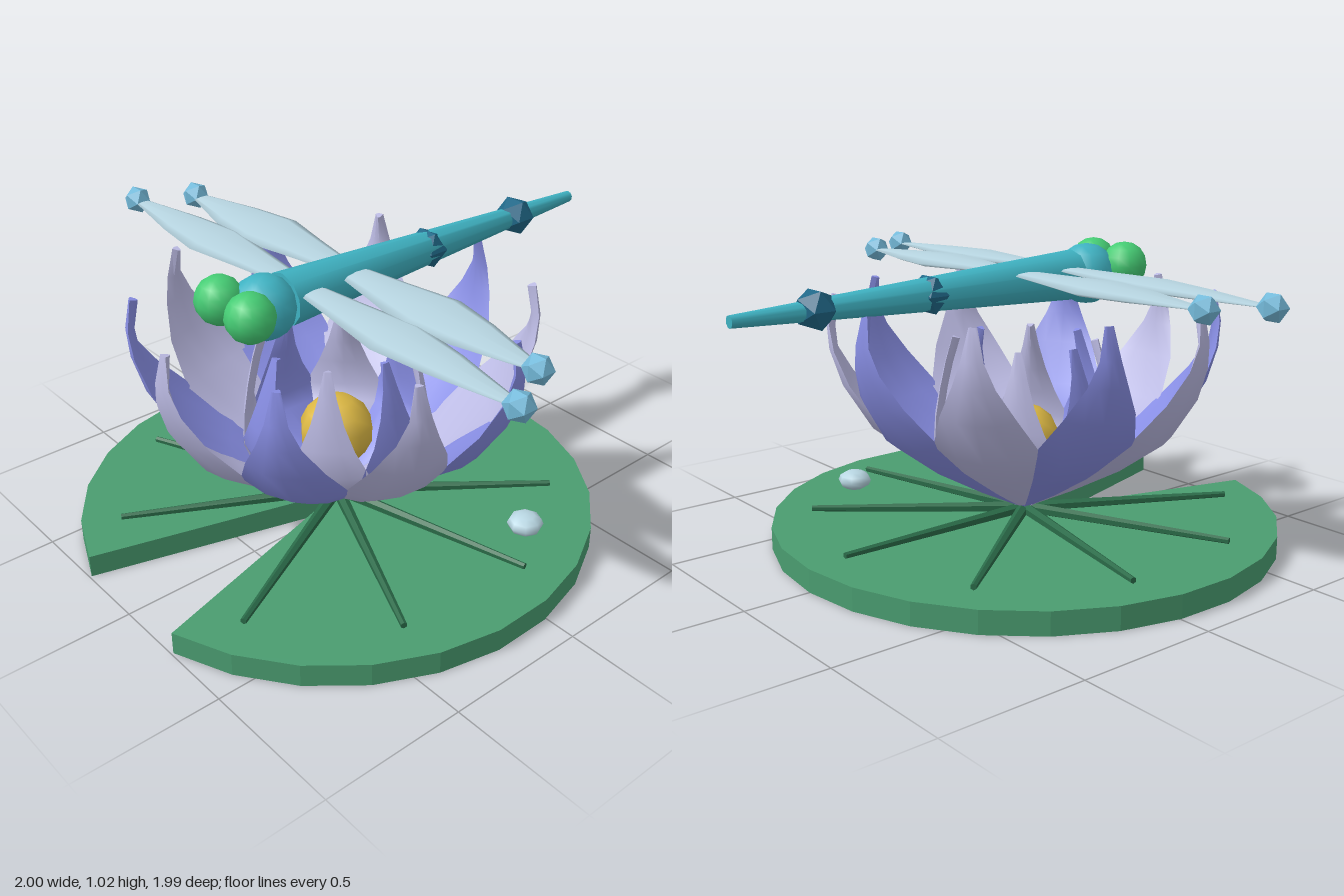
import * as THREE from 'three';
import { toCreasedNormals } from 'three/addons/utils/BufferGeometryUtils.js';

const mat = (name, color, flatShading = true) => {
  const m = new THREE.MeshStandardMaterial({ color, flatShading });
  m.name = name;
  return m;
};

// Closed, cupped petal swept along +z from rows of [radius, height, halfWidth]
function petalGeometry(rows, cup, thickness) {
  const us = [-1, -0.5, 0, 0.5, 1, 0.5, 0, -0.5];
  const n = us.length, pos = [], idx = [];
  rows.forEach(([r, y, w], i) => {
    const a = rows[Math.max(i - 1, 0)], b = rows[Math.min(i + 1, rows.length - 1)];
    const len = Math.hypot(b[0] - a[0], b[1] - a[1]);
    const nz = -(b[1] - a[1]) / len, ny = (b[0] - a[0]) / len;
    us.forEach((u, j) => {
      const off = cup * u * u * w + (j > 4 ? thickness * (1 - u * u) : 0);
      pos.push(u * w, y + ny * off, r + nz * off);
    });
  });
  for (let i = 0; i < rows.length - 1; i++) {
    for (let j = 0; j < n; j++) {
      const a = i * n + j, b = i * n + (j + 1) % n;
      idx.push(a, b, a + n, b, b + n, a + n);
    }
  }
  const e = (rows.length - 1) * n;
  for (let j = 1; j < n - 1; j++) idx.push(e, e + j, e + j + 1);
  const g = new THREE.BufferGeometry();
  g.setAttribute('position', new THREE.Float32BufferAttribute(pos, 3));
  g.setIndex(idx);
  return toCreasedNormals(g, 0.9);
}

export function createModel() {
  const model = new THREE.Group();
  model.name = 'dragonflyOnLotus';
  const green = mat('padGreen', 0x4a9c70), darkGreen = mat('veinGreen', 0x2a6a48);
  const pale = mat('palePetal', 0xbcbbe4, false), blue = mat('bluePetal', 0x888ee4, false);
  const gold = mat('gold', 0xdcb844, false), wing = mat('wingBlue', 0xb8d6e2, false);
  const tip = mat('wingTipBlue', 0x74bada), teal = mat('teal', 0x3fb2c2, false);
  const darkTeal = mat('darkTeal', 0x206888), eye = mat('eyeGreen', 0x45cc74, false);

  const add = (parent, name, geo, material, x = 0, y = 0, z = 0) => {
    const m = new THREE.Mesh(geo, material);
    m.name = name;
    m.position.set(x, y, z);
    parent.add(m);
    return m;
  };

  // Lily pad and flower share a centre slightly in front of the origin
  const lily = new THREE.Group();
  lily.name = 'lily';
  lily.position.z = 0.13;
  model.add(lily);

  // Pad with a wedge cut out at the front
  const outline = [new THREE.Vector2(0, 0)];
  for (let i = 0; i <= 24; i++) {
    const a = -Math.PI / 2 + 0.278 + (i / 24) * (2 * Math.PI - 0.556);
    outline.push(new THREE.Vector2(0.897 * Math.cos(a), 0.897 * Math.sin(a)));
  }
  const padGeo = new THREE.ExtrudeGeometry(new THREE.Shape(outline), { depth: 0.08, bevelEnabled: false });
  add(lily, 'lilyPad', padGeo.rotateX(-Math.PI / 2), green);

  // Pad veins, none in the notch
  const veinGeo = new THREE.CylinderGeometry(0.011, 0.022, 0.76, 6);
  veinGeo.translate(0, 0.38, 0).rotateX(Math.PI / 2);
  for (let i = 0; i < 9; i++) {
    add(lily, 'padVein', veinGeo, darkGreen, 0, 0.092).rotation.y = THREE.MathUtils.degToRad(28 + i * 38);
  }

  // Two rings of petals in alternating colours
  const outer = petalGeometry([
    [0.02, 0.1, 0.025], [0.19, 0.185, 0.07], [0.38, 0.292, 0.13], [0.54, 0.41, 0.178],
    [0.638, 0.56, 0.125], [0.678, 0.68, 0.07], [0.685, 0.77, 0.037], [0.665, 0.875, 0.014],
  ], 0.3, 0.03);
  const inner = petalGeometry([
    [0.02, 0.1, 0.03], [0.15, 0.18, 0.08], [0.29, 0.28, 0.14], [0.32, 0.35, 0.14],
    [0.315, 0.45, 0.09], [0.3, 0.54, 0.055], [0.28, 0.63, 0.03], [0.255, 0.715, 0.013],
  ], 0.15, 0.028);
  const ring = (name, geo, count, colours) => {
    for (let i = 0; i < count; i++) {
      add(lily, name, geo, colours[i % 2]).rotation.y = i * 2 * Math.PI / count;
    }
  };
  ring('outerPetal', outer, 10, [pale, blue]);
  ring('innerPetal', inner, 8, [blue, pale]);

  // Golden flower centre
  add(lily, 'flowerCentre', new THREE.SphereGeometry(0.13, 10, 7), gold, 0, 0.345);

  // Dew drop on the pad
  add(model, 'dewDrop', new THREE.SphereGeometry(0.062, 8, 6).scale(1, 0.6, 1), wing, 0.595, 0.115, -0.205);

  // Dragonfly body
  const fly = new THREE.Group();
  fly.name = 'dragonfly';
  model.add(fly);
  add(fly, 'thorax', new THREE.SphereGeometry(0.108, 12, 8), teal, 0, 0.912, 0.415);
  const abdomen = new THREE.CylinderGeometry(0.02, 0.09, 1.34, 10).rotateX(-Math.PI / 2);
  add(fly, 'abdomen', abdomen, teal, 0, 0.91, -0.33).rotation.x = -0.006;
  for (const z of [-0.28, -0.71]) {
    add(fly, 'abdomenBand', new THREE.IcosahedronGeometry(0.071, 0), darkTeal, 0, 0.909, z);
  }

  // Eyes and wings, mirrored; wing profile is [halfWidth, fraction of length]
  const profile = [[0, 0], [0.42, 0], [0.68, 0.22], [1, 0.46], [0.74, 0.68], [0.16, 1], [0, 1]];
  for (const side of [-1, 1]) {
    add(fly, 'eye', new THREE.SphereGeometry(0.082, 12, 8), eye, side * 0.08, 0.942, 0.525);
    for (const [name, z, end, half] of [['foreWing', 0.275, 0.955, 0.105], ['hindWing', 0.09, 0.852, 0.125]]) {
      const start = 0.04, len = end - start;
      const pts = profile.map(([w, t]) => new THREE.Vector2(w * half, t * len));
      const geo = new THREE.LatheGeometry(pts, 8);
      geo.rotateZ(-side * Math.PI / 2).scale(1, 0.16, 1);
      add(fly, name, geo, wing, side * start, 0.945, z).rotation.z = -side * 0.009;
      add(fly, name + 'Tip', new THREE.IcosahedronGeometry(0.05, 0), tip, side * end, 0.937, z);
    }
  }
  return model;
}
